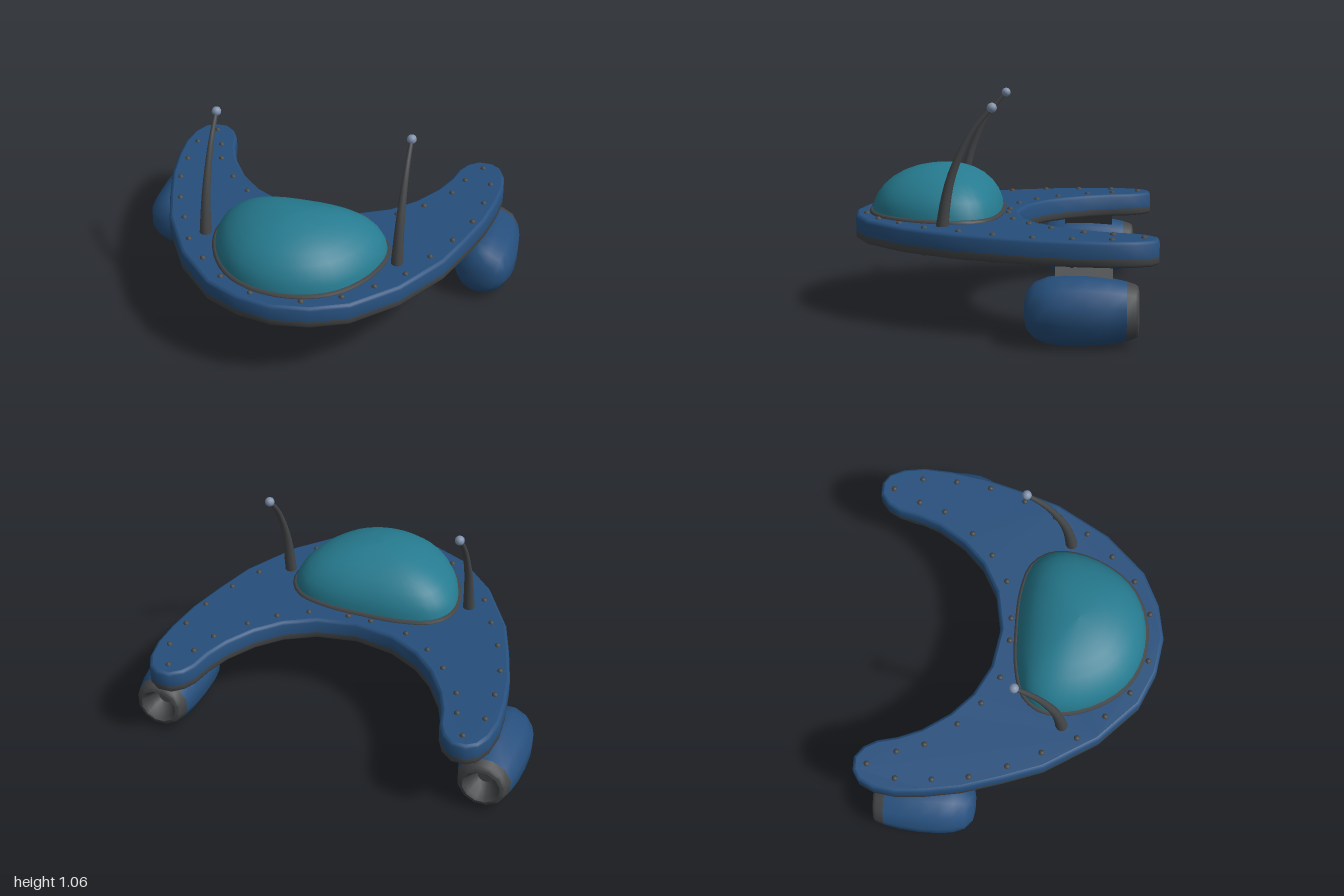
import * as THREE from 'three';
import { toCreasedNormals } from 'three/addons/utils/BufferGeometryUtils.js';

const V = (x, y, z) => new THREE.Vector3(x, y, z);

function material(name, color, side = THREE.FrontSide) {
  const m = new THREE.MeshStandardMaterial({ color, side });
  m.name = name;
  return m;
}

// Skin over closed rings, listed bottom to top, each anticlockwise from above
function loft(rings) {
  const n = rings[0].length, index = [];
  for (let r = 0; r < rings.length - 1; r++) {
    for (let i = 0; i < n; i++) {
      const j = (i + 1) % n, a = r * n + i, b = r * n + j;
      index.push(a, b, a + n, b, b + n, a + n);
    }
  }
  const g = new THREE.BufferGeometry().setFromPoints(rings.flat());
  g.setIndex(index);
  g.computeVertexNormals();
  return g;
}

// Mirrors a half outline [x, z] that starts and ends on the centre line
function mirrorOutline(half) {
  const other = half.slice(1, -1).reverse().map(([x, z]) => [-x, z]);
  return half.concat(other);
}

function inset(outline, d) {
  const n = outline.length;
  return outline.map(([x, z], i) => {
    const p = outline[(i + n - 1) % n], q = outline[(i + 1) % n];
    const tx = q[0] - p[0], tz = q[1] - p[1], len = Math.hypot(tx, tz);
    return [x + (tz / len) * d, z - (tx / len) * d];
  });
}

const ring = (outline, y) => outline.map(([x, z]) => V(x, y, z));

export function createModel() {
  const blue = material('hullBlue', 0x264f7c);
  const grey = material('darkGrey', 0x444648);
  const teal = material('canopyTeal', 0x267b90);
  const silver = material('paleSteel', 0x8092ac);
  const model = new THREE.Group();
  model.name = 'crescentShip';
  const add = (name, geometry, mat, parent = model) => {
    const mesh = new THREE.Mesh(geometry, mat);
    mesh.name = name;
    parent.add(mesh);
    return mesh;
  };

  // Crescent hull
  const hull = mirrorOutline([
    [0, 0.75], [0.18, 0.72], [0.355, 0.64], [0.55, 0.445], [0.71, 0.18], [0.78, -0.02],
    [0.84, -0.22], [0.87, -0.4], [0.88, -0.54], [0.865, -0.65], [0.83, -0.725], [0.78, -0.758],
    [0.71, -0.758], [0.655, -0.715], [0.62, -0.65], [0.597, -0.55], [0.55, -0.435],
    [0.46, -0.3], [0.35, -0.195], [0.2, -0.115], [0, -0.08],
  ]);
  const wall = (levels) => toCreasedNormals(
    loft(levels.map(([y, d]) => ring(inset(hull, d), y))), 0.9);
  const cap = (sign) => new THREE.ShapeGeometry(new THREE.Shape(
    inset(hull, 0.016).map(([x, z]) => new THREE.Vector2(x, -sign * z)))).rotateX(-sign * Math.PI / 2);
  add('hullLowerBand', wall([[0.36, 0.016], [0.364, 0.006], [0.374, 0], [0.4, 0]]), grey);
  add('hullUpperBand', wall([[0.4, 0], [0.462, 0], [0.473, 0.006], [0.478, 0.016]]), blue);
  add('hullTop', cap(1), blue).position.y = 0.478;
  add('hullBottom', cap(-1), blue).position.y = 0.36;

  // Rivets on both faces of the hull
  const rivets = new THREE.Group();
  rivets.name = 'rivets';
  model.add(rivets);
  const rivetGeometry = new THREE.SphereGeometry(0.016, 8, 6);
  const rivetSpots = [
    [0.06, -0.03], [0.26, -0.065], [0.4, -0.15], [0.515, -0.26], [0.63, -0.415], [0.675, -0.55],
    [0.745, -0.69], [0.81, -0.545], [0.805, -0.365], [0.78, -0.185], [0.715, 0],
    [0.635, 0.165], [0.55, 0.335], [0.43, 0.47], [0.3, 0.59], [0.125, 0.675],
  ];
  for (const [x, z] of rivetSpots) {
    for (const side of [1, -1]) {
      for (const y of [0.475, 0.363]) {
        add('rivet', rivetGeometry, grey, rivets).position.set(side * x, y, z);
      }
    }
  }

  // Canopy dome and its rim
  const canopyCurve = new THREE.CatmullRomCurve3(ring(mirrorOutline([
    [0, 0.66], [0.14, 0.638], [0.27, 0.567], [0.375, 0.43], [0.428, 0.27],
    [0.42, 0.15], [0.35, 0.06], [0.2, 0.015], [0, 0.005],
  ]), 0.478), true);
  const base = canopyCurve.getPoints(40).slice(0, -1);
  const domeRings = [];
  for (let k = 0; k <= 8; k++) {
    const t = (k / 8) * Math.PI / 2, s = Math.max(Math.cos(t), 0.002);
    domeRings.push(base.map((p) => V(p.x * s, 0.478 + 0.242 * Math.sin(t), 0.31 + (p.z - 0.31) * s)));
  }
  add('canopy', loft(domeRings), teal);
  add('canopyRim', new THREE.TubeGeometry(canopyCurve, 48, 0.016, 6, true), grey);

  // Swept antennas with ball tips
  const antennaCurve = new THREE.CatmullRomCurve3([
    V(0, 0.47, 0.257), V(0, 0.62, 0.235), V(0, 0.74, 0.203), V(0, 0.92, 0.118), V(0, 1.035, 0.025),
  ]);
  const antennaRings = [];
  for (let k = 0; k <= 12; k++) {
    const t = k / 12, c = antennaCurve.getPointAt(t), d = antennaCurve.getTangentAt(t);
    const r = 0.011 + 0.02 * (1 - t) ** 1.3;
    antennaRings.push(Array.from({ length: 10 }, (_, i) => {
      const a = (i / 10) * Math.PI * 2, s = -r * Math.sin(a);
      return V(c.x + r * Math.cos(a), c.y - d.z * s, c.z + d.y * s);
    }));
  }
  const antennaGeometry = loft(antennaRings);

  // Engine profiles: radius, z
  const lathe = (profile) => toCreasedNormals(new THREE.LatheGeometry(
    profile.map(([r, z]) => new THREE.Vector2(r, z)), 12, Math.PI / 12).rotateX(Math.PI / 2), 0.75);
  const engineGeometry = lathe([
    [0.134, -0.612], [0.151, -0.53], [0.16, -0.43], [0.16, -0.33], [0.151, -0.26],
    [0.128, -0.2], [0.085, -0.162], [0.04, -0.153], [0, -0.151],
  ]);
  const nozzleGeometry = lathe([
    [0, -0.58], [0.04, -0.582], [0.058, -0.61], [0.08, -0.655], [0.094, -0.668],
    [0.112, -0.664], [0.122, -0.65], [0.134, -0.612],
  ]);

  for (const side of [1, -1]) {
    const label = side > 0 ? 'left' : 'right';
    const antenna = new THREE.Group();
    antenna.name = label + 'Antenna';
    antenna.position.x = side * 0.49;
    model.add(antenna);
    add('antennaRod', antennaGeometry, grey, antenna);
    add('antennaTip', new THREE.SphereGeometry(0.024, 12, 8), silver, antenna).position.set(0, 1.04, 0.02);

    const engine = new THREE.Group();
    engine.name = label + 'Engine';
    engine.position.set(side * 0.84, 0.16, 0);
    model.add(engine);
    add('engineBody', engineGeometry, blue, engine);
    add('engineNozzle', nozzleGeometry, grey, engine);

    // Slanted strut between hull and engine
    const strut = add(label + 'Strut', new THREE.BoxGeometry(0.06, 0.2, 0.26), grey);
    strut.position.set(side * 0.775, 0.325, -0.42);
    strut.rotation.z = side * 0.68;
  }
  return model;
}
